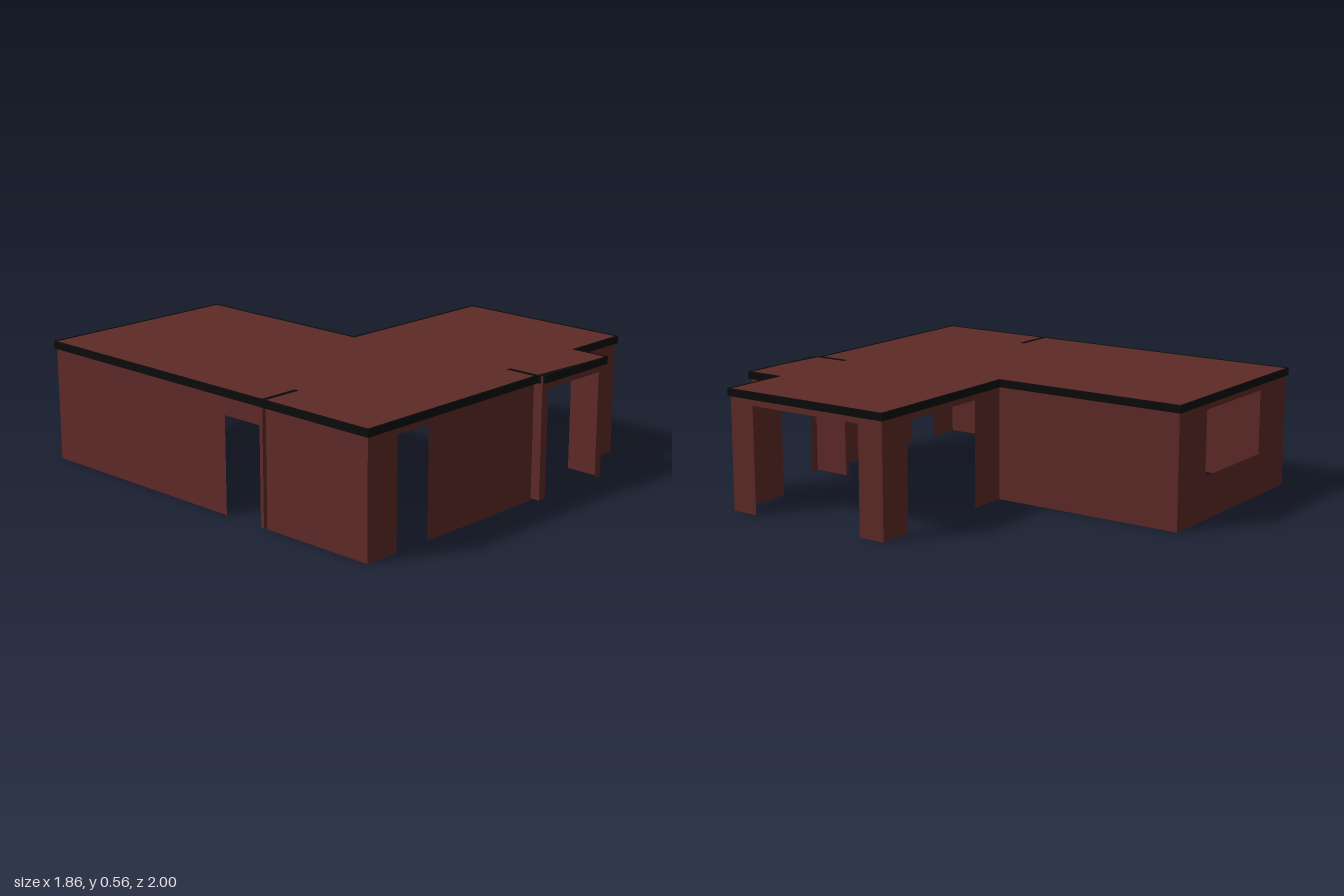
import * as THREE from 'three';

const HEIGHT = 0.563, DOOR_TOP = 0.5;

// Wall line on the ground as [x, z], with two narrow slits running into the plan
const plan = [
  [-0.92, -0.99], [0.07, -0.99], [0.07, -0.05], [0.92, -0.05],
  [0.92, 0.81], [0.59, 0.81], [0.59, 0.99], [0.143, 0.99],
  [0.143, 0.81], [0.122, 0.81], [0.122, 0.96], [-0.92, 0.96],
  [-0.92, 0.388], [-0.73, 0.388], [-0.73, 0.368], [-0.92, 0.368],
];

// Outer edge of the roof trim
const eaves = [
  [-0.93, -1], [0.08, -1], [0.08, -0.06], [0.93, -0.06], [0.93, 0.82],
  [0.6, 0.82], [0.6, 1], [0.155, 1], [0.135, 0.97], [-0.93, 0.97],
];

// Openings by wall index: distance along the wall, and sill height
const openings = {
  0: { name: 'backWindowWall', from: 0.25, to: 0.75, sill: 0.2 },
  2: { name: 'backDoorWall', from: 0.19, to: 0.68, sill: 0 },
  3: { name: 'leftDoorWall', from: 0.13, to: 0.73, sill: 0 },
  6: { name: 'entranceWall', from: 0.04, to: 0.405, sill: 0 },
  10: { name: 'frontDoorWall', from: 0.682, to: 0.87, sill: 0 },
  15: { name: 'rightDoorWall', from: 0.018, to: 0.228, sill: 0 },
};

const toPoints = (list, k = 1) => list.map(([x, y]) => new THREE.Vector2(x * k, y * k));

// Thin upright panel from a to b, with an optional door or window
function wallGeometry(a, b, opening) {
  const dx = b[0] - a[0], dz = b[1] - a[1], length = Math.hypot(dx, dz);
  const outline = [[0, 0], [length, 0], [length, HEIGHT], [0, HEIGHT]];
  let hole = null;
  if (opening) {
    const { from, to, sill } = opening;
    const edge = [[from, sill], [from, DOOR_TOP], [to, DOOR_TOP], [to, sill]];
    if (sill > 0) hole = edge;
    else outline.splice(1, 0, ...edge);
  }
  const shape = new THREE.Shape(toPoints(outline));
  if (hole) shape.holes.push(new THREE.Path(toPoints(hole)));
  const geometry = new THREE.ShapeGeometry(shape);
  geometry.rotateY(Math.atan2(-dz, dx));
  geometry.translate(a[0], 0, a[1]);
  return geometry;
}

export function createModel() {
  const model = new THREE.Group();
  model.name = 'house';
  const red = new THREE.MeshStandardMaterial({ color: 0x5e2a27, side: THREE.DoubleSide });
  const black = new THREE.MeshStandardMaterial({ color: 0x0b0b0b });

  const add = (name, geometry, material, parent = model) => {
    const mesh = new THREE.Mesh(geometry, material);
    mesh.name = name;
    parent.add(mesh);
  };

  // Walls
  const walls = new THREE.Group();
  walls.name = 'walls';
  model.add(walls);
  plan.forEach((a, i) => {
    const b = plan[(i + 1) % plan.length];
    add(openings[i]?.name ?? 'wall', wallGeometry(a, b, openings[i]), red, walls);
  });

  // Flat roof sheet, which is also the ceiling
  const roof = new THREE.ShapeGeometry(new THREE.Shape(toPoints(plan)));
  roof.rotateX(Math.PI / 2).translate(0, HEIGHT, 0);
  add('roof', roof, red);

  // Trim around the roof, also filling the slits
  const trimShape = new THREE.Shape(toPoints(eaves));
  trimShape.holes.push(new THREE.Path(toPoints(plan, 1.002)));
  const trim = new THREE.ExtrudeGeometry(trimShape, { depth: 0.035, bevelEnabled: false });
  trim.rotateX(Math.PI / 2).translate(0, 0.565, 0);
  add('roofTrim', trim, black);

  return model;
}
